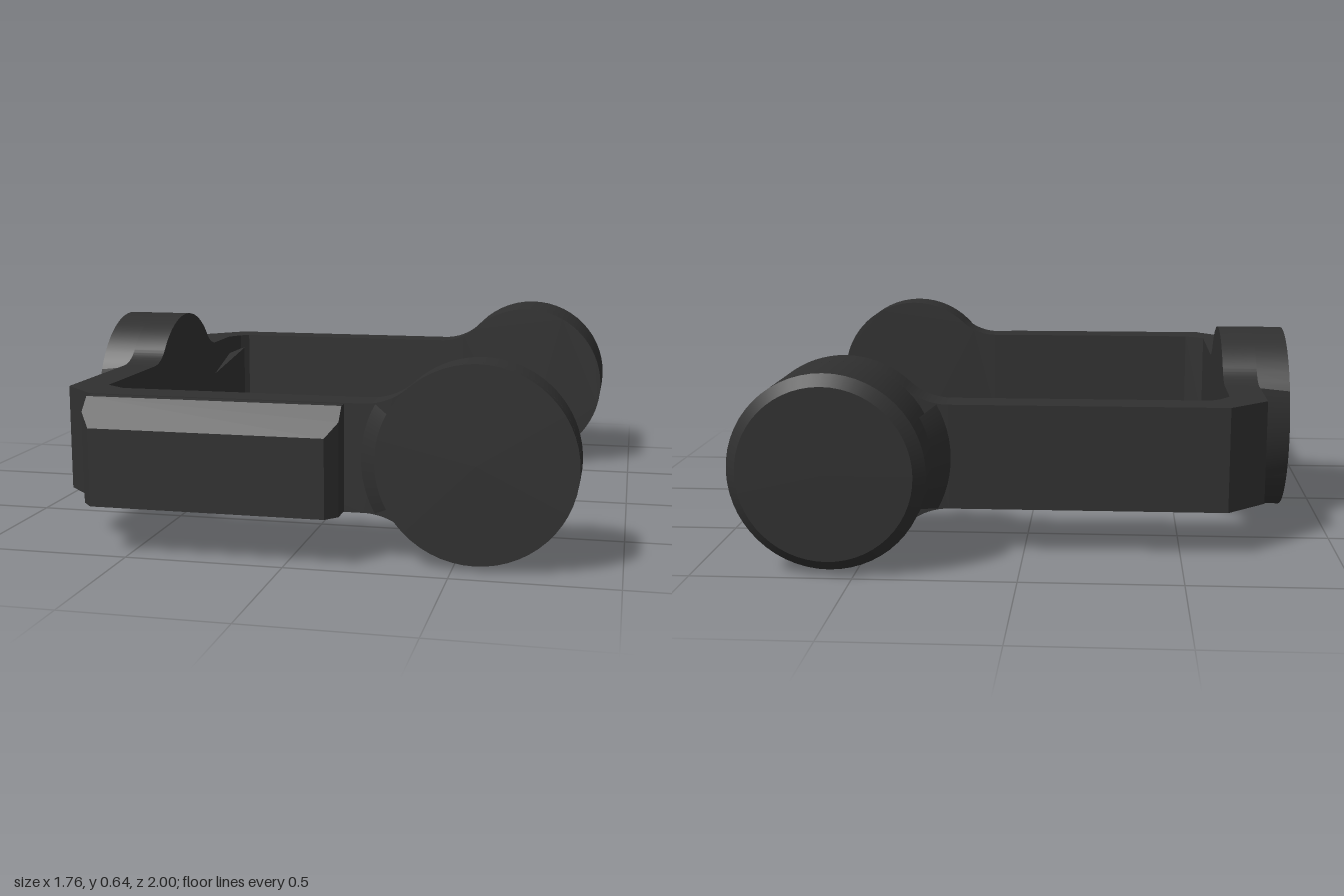
import * as THREE from 'three';
import { toCreasedNormals } from 'three/addons/utils/BufferGeometryUtils.js';
import { ConvexGeometry } from 'three/addons/geometries/ConvexGeometry.js';

const CY = 0.32;       // height of the centre line
const H = 0.168;       // half height of the arms
const UP = new THREE.Vector3(0, 1, 0);

// Distance from a disc centre to where its fillet meets the straight arm
const neckReach = (r, R) => Math.sqrt((r + R) ** 2 - (H + R) ** 2);

// Disc outline blended into an arm on the -u side, or on both sides
function neckGeometry(r, R, depth, bothSides) {
  const dx = neckReach(r, R), y = H + R, a = Math.atan2(y, dx), q = Math.PI / 2;
  const s = new THREE.Shape();
  s.moveTo(-dx, -H);
  s.absarc(-dx, -y, R, q, a, true);
  if (bothSides) {
    s.absarc(0, 0, r, a - Math.PI, -a, false);
    s.absarc(dx, -y, R, Math.PI - a, q, true);
    s.lineTo(dx, H);
    s.absarc(dx, y, R, -q, a - Math.PI, true);
    s.absarc(0, 0, r, a, Math.PI - a, false);
  } else {
    s.absarc(0, 0, r, a - Math.PI, Math.PI - a, false);
  }
  s.absarc(-dx, y, R, -a, -q, true);
  s.closePath();
  const g = new THREE.ExtrudeGeometry(s, { depth, bevelEnabled: false, curveSegments: 28 });
  return toCreasedNormals(g, 0.5);
}

// Plan outline of [x, z] points raised to the arm height
function planGeometry(points) {
  const s = new THREE.Shape(points.map(([x, z]) => new THREE.Vector2(x, -z)));
  const g = new THREE.ExtrudeGeometry(s, { depth: 2 * H, bevelEnabled: false });
  return g.rotateX(-Math.PI / 2).translate(0, CY - H, 0);
}

export function createModel() {
  const model = new THREE.Group();
  const charcoal = new THREE.MeshStandardMaterial({ color: 0x303030, side: THREE.DoubleSide });
  charcoal.name = 'charcoal';

  const add = (name, geometry) => {
    const mesh = new THREE.Mesh(geometry, charcoal);
    mesh.name = name;
    model.add(mesh);
    return mesh;
  };
  // Round part growing from a base point along a direction
  const round = (name, rEnd, rBase, h, base, dir, theta = 0, span = Math.PI * 2) => {
    const open = span < 6;
    const g = new THREE.CylinderGeometry(rEnd, rBase, h, open ? 12 : 56, 1, open, theta, span);
    g.translate(0, h / 2, 0);
    const m = add(name, g);
    m.position.set(...base);
    m.quaternion.setFromUnitVectors(UP, new THREE.Vector3(...dir));
  };
  const hull = (name, pts) =>
    add(name, new ConvexGeometry(pts.map((p) => new THREE.Vector3(...p))));

  const R = 0.2, r = 0.303, frontX = 0.567, backX = 0.577;
  const spineR = 0.32, spineFillet = 0.14, spineZ = -0.035;
  const armReach = neckReach(r, R), spineReach = neckReach(spineR, spineFillet);
  const zf = spineZ + spineReach, zb = spineZ - spineReach;

  // Angled arms with chamfered corners
  add('frontArm', planGeometry([
    [frontX - armReach, 0.77], [-0.585, 0.77], [-0.655, 0.72], [-0.655, zf],
    [-0.77, zf], [-0.77, 0.77], [-0.65, 0.885], [frontX - armReach, 0.885]]));
  add('backArm', planGeometry([
    [backX - armReach, -0.63], [-0.59, -0.63], [-0.62, -0.61], [-0.655, -0.56], [-0.655, zb],
    [-0.77, zb], [-0.77, -0.63], [-0.645, -0.745], [backX - armReach, -0.745]]));

  // Rounded plates at the arm ends and the middle of the spine
  add('frontPlate', neckGeometry(r, R, 0.115, false)).position.set(frontX, CY, 0.77);
  add('backPlate', neckGeometry(r, R, 0.115, false)).position.set(backX, CY, -0.745);
  add('spinePlate', neckGeometry(spineR, spineFillet, 0.115, true).rotateY(-Math.PI / 2))
    .position.set(-0.655, CY, spineZ);

  // Motor housings
  round('frontDisc', r, r, 0.035, [frontX, CY, 0.885], [0, 0, 1]);
  round('backMotor', r, r, 0.22, [backX, CY, -0.745], [0, 0, -1]);
  round('backMotorCap', 0.268, r, 0.035, [backX, CY, -0.965], [0, 0, -1]);
  round('spineMotor', spineR, spineR, 0.11, [-0.77, CY, spineZ], [-1, 0, 0]);

  // Sloped lips easing the housings into the arms
  const west = Math.PI * 1.5;
  round('frontLip', r, 0.35, 0.035, [frontX, CY, 0.885], [0, 0, 1], west - 0.5, 1);
  round('backLip', r, 0.35, 0.09, [backX, CY, -0.745], [0, 0, -1], west - 0.5, 1);
  for (const angle of [0, Math.PI]) {
    round('spineLip', spineR, 0.358, 0.11, [-0.77, CY, spineZ], [-1, 0, 0], angle - 0.46, 0.92);
  }

  // Chamfered block on the outside of the front arm
  const block = [];
  for (const side of [-1, 1]) {
    const x = -0.24 + side * 0.405, xi = -0.24 + side * 0.37;
    block.push([x, 0.155, 0.88], [x, 0.155, 0.96], [x, 0.4425, 0.96], [x, 0.485, 0.92],
      [x, 0.485, 0.88], [xi, 0.155, 1], [xi, 0.4, 1]);
  }
  hull('frontBlock', block);

  // Tapered rib inside the back corner
  hull('cornerRib', [
    [-0.605, 0.2, -0.635], [-0.605, 0.44, -0.635], [-0.67, 0.2, -0.635], [-0.67, 0.44, -0.635],
    [-0.655, 0.27, -0.36], [-0.655, 0.36, -0.36], [-0.67, 0.27, -0.36], [-0.67, 0.36, -0.36]]);

  return model;
}
